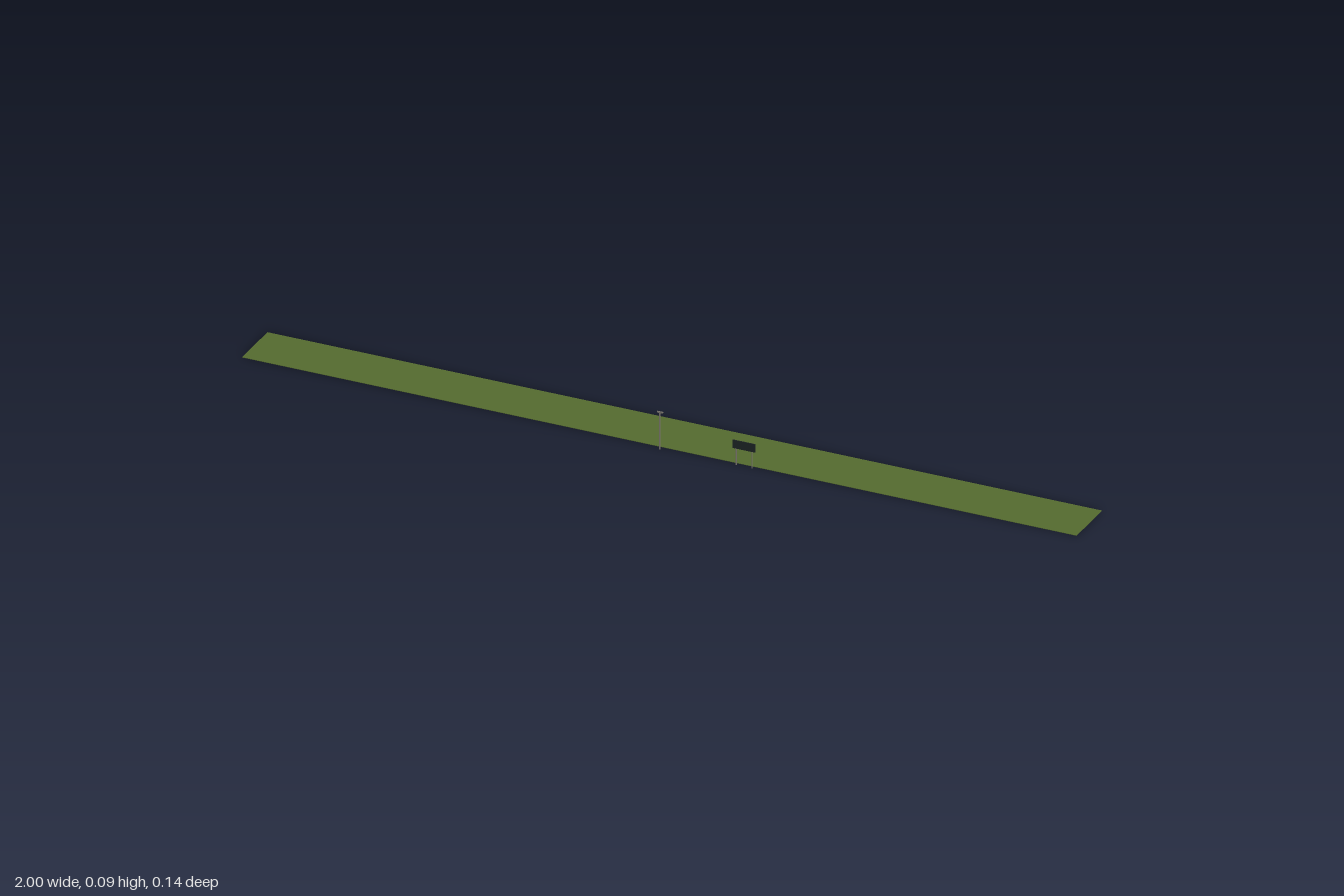
import * as THREE from 'three';

export function createModel() {
  const group = new THREE.Group();
  const paint = (name, color) => {
    const m = new THREE.MeshStandardMaterial({ color });
    m.name = name;
    return m;
  };
  const grass = paint('grass green', 0x556b2f);
  const metal = paint('weathered grey', 0x7d7870);
  const dark = paint('dark panel', 0x1f2628);

  const add = (name, geometry, material, x, y, z) => {
    const mesh = new THREE.Mesh(geometry, material);
    mesh.name = name;
    mesh.position.set(x, y, z);
    group.add(mesh);
  };
  const box = (w, h, d) => new THREE.BoxGeometry(w, h, d);

  // Long flat strip of grass
  add('grassStrip', box(2, 0.001, 0.131), grass, 0, 0.0005, -0.006);

  // Tall pole with a short crossbar on top
  add('pole', new THREE.CylinderGeometry(0.0015, 0.0015, 0.091, 8), metal, 0.006, 0.0455, 0.07);
  add('poleCrossbar', box(0.014, 0.003, 0.003), metal, 0.007, 0.0905, 0.07);

  // Dark sign board on two thin posts
  add('signBoard', box(0.054, 0.02, 0.002), dark, 0.207, 0.05, 0.067);
  for (const x of [0.188, 0.226]) {
    add('signPost', box(0.002, 0.041, 0.002), metal, x, 0.0205, 0.067);
  }
  return group;
}
